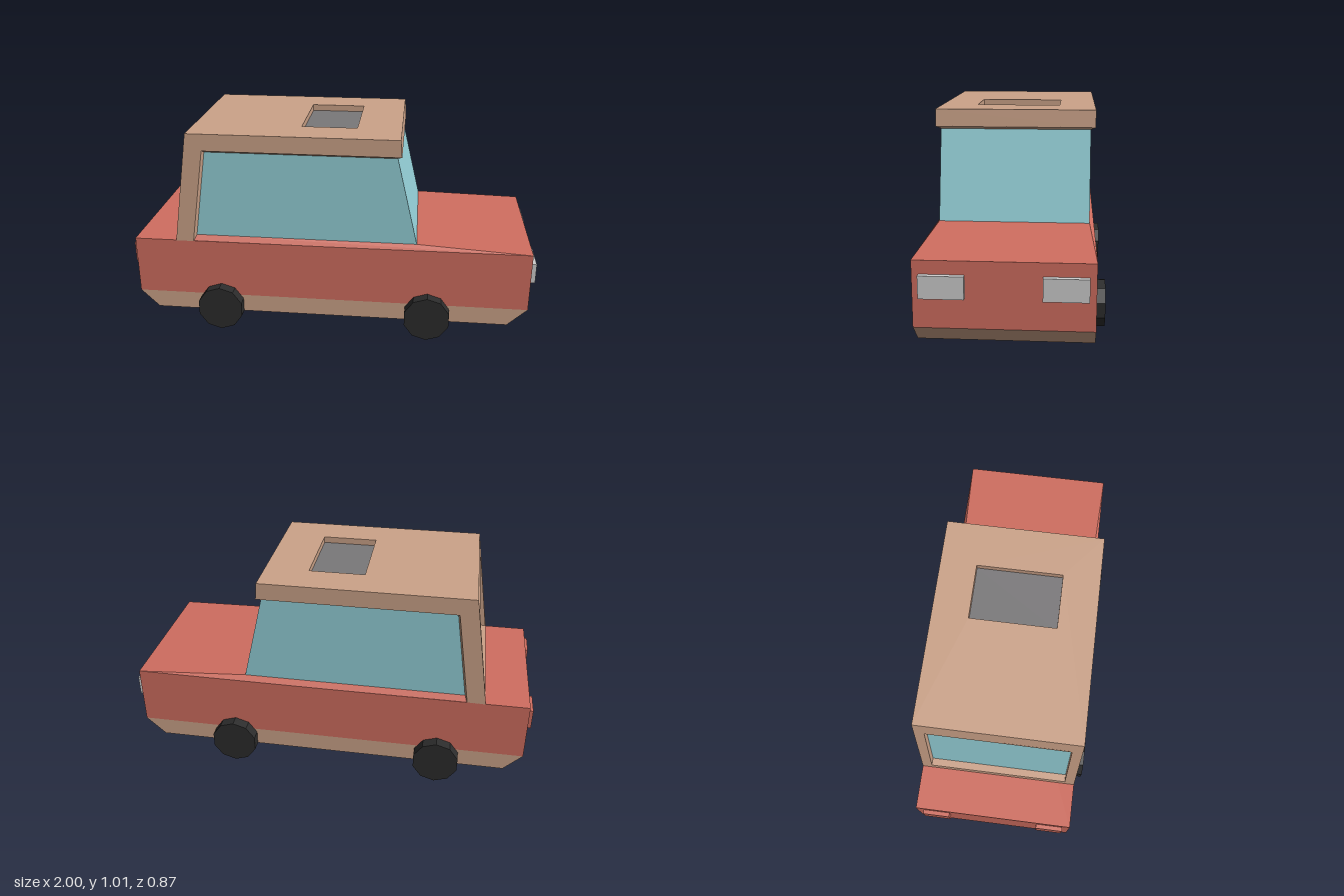
import * as THREE from 'three';
import { ConvexGeometry } from 'three/addons/geometries/ConvexGeometry.js';

const material = (name, color, opts = {}) => {
  const m = new THREE.MeshStandardMaterial({ color, ...opts });
  m.name = name;
  return m;
};

// Rectangle outline, as a shape or as a hole
function rect(target, x0, y0, x1, y1) {
  target.moveTo(x0, y0);
  target.lineTo(x1, y0);
  target.lineTo(x1, y1);
  target.lineTo(x0, y1);
  target.closePath();
  return target;
}

// Convex solid from [x, y, halfWidth] points, mirrored across z
function mirroredHull(points) {
  return new ConvexGeometry(points.flatMap(([x, y, z]) =>
    [new THREE.Vector3(x, y, z), new THREE.Vector3(x, y, -z)]));
}

// Shift x by a rule that depends on the vertex position
function shiftX(geometry, rule) {
  const p = geometry.attributes.position;
  for (let i = 0; i < p.count; i++) p.setX(i, p.getX(i) + rule(p.getX(i), p.getY(i)));
  geometry.computeVertexNormals();
  return geometry;
}

export function createModel() {
  const car = new THREE.Group();
  car.name = 'car';

  const red = material('red paint', 0xd06e60);
  const tan = material('tan trim', 0xcca389);
  const glass = material('blue glass', 0x94d0d8);
  const black = material('black rubber', 0x2c2c2c);
  const white = material('lamp white', 0xcecece);
  const grey = material('sunroof grey', 0x7a787a);

  const add = (name, geometry, mat, x = 0, y = 0, z = 0) => {
    const mesh = new THREE.Mesh(geometry, mat);
    mesh.name = name;
    mesh.position.set(x, y, z);
    car.add(mesh);
    return mesh;
  };

  const W = 0.383; // half width of the body
  const G = 0.36;  // half width of the glasshouse

  // Lower body: painted box above a tapered sill
  add('body', new THREE.BoxGeometry(1.955, 0.292, 2 * W), red, -0.0025, 0.316, 0);
  add('sill', mirroredHull([
    [-0.98, 0.17, W], [0.975, 0.17, W], [-0.89, 0.08, W], [0.88, 0.08, W],
  ]), tan);

  // Hood and window ledge, rising gently toward the windshield
  add('hood', mirroredHull([
    [-0.68, 0.46, W], [0.975, 0.46, W], [0.975, 0.465, W],
    [-0.67, 0.487, G], [0.42, 0.487, G],
  ]), red);

  // Glasshouse
  add('windows', mirroredHull([
    [-0.733, 0.47, G], [0.425, 0.47, G], [-0.664, 0.93, G], [0.315, 0.93, G],
  ]), glass);

  // Rear window frame, leaning forward
  const frameShape = rect(new THREE.Shape(), -W, 0.46, W, 0.932);
  frameShape.holes.push(rect(new THREE.Path(), -0.335, 0.49, 0.335, 0.922));
  const frame = new THREE.ExtrudeGeometry(frameShape, { depth: 0.088, bevelEnabled: false });
  frame.rotateY(Math.PI / 2);
  add('rearWindowFrame', shiftX(frame, (x, y) => -0.77 + 0.153 * (y - 0.46)), tan);

  // Beveled edge between each rear pillar and the side glass
  for (const s of [1, -1]) {
    const points = [[0.46, -0.682], [0.93, -0.611]].flatMap(([y, x]) => [
      new THREE.Vector3(x - 0.01, y, s * W), new THREE.Vector3(x, y, s * W),
      new THREE.Vector3(x + 0.01, y, s * (G - 0.002)), new THREE.Vector3(x - 0.01, y, s * (G - 0.002)),
    ]);
    add('pillarBevel', new ConvexGeometry(points), tan);
  }

  // Roof with a sunroof opening; its ends splay slightly at the bottom
  const roofShape = rect(new THREE.Shape(), -0.685, -W, 0.33, W);
  roofShape.holes.push(rect(new THREE.Path(), -0.155, -0.205, 0.115, 0.208));
  const roof = new THREE.ExtrudeGeometry(roofShape, { depth: 0.083, bevelEnabled: false });
  roof.rotateX(-Math.PI / 2).translate(0, 0.932, 0);
  add('roof', shiftX(roof, (x, y) =>
    (1.015 - y) * (x > 0.3 ? 0.085 : x < -0.6 ? -0.153 : 0)), tan);
  add('roofUnderside', mirroredHull([
    [-0.69, 0.933, W], [0.337, 0.933, W], [-0.65, 0.92, G], [0.319, 0.92, G],
  ]), tan);
  add('sunroof', new THREE.BoxGeometry(0.27, 0.008, 0.413), grey, -0.02, 0.98, -0.0015);

  // Lamps
  for (const s of [1, -1]) {
    add('headlight', new THREE.BoxGeometry(0.04, 0.1, 0.192), white, 0.98, 0.355, s * 0.258);
    add('taillight', new THREE.BoxGeometry(0.04, 0.1, 0.13), red, -0.98, 0.372, s * 0.283);
  }

  // Ten-sided wheels
  const tire = new THREE.CylinderGeometry(0.115, 0.115, 0.122, 10).toNonIndexed();
  tire.rotateX(Math.PI / 2);
  tire.computeVertexNormals();
  for (const x of [-0.553, 0.483]) {
    for (const s of [1, -1]) add('wheel', tire, black, x, 0.115, s * 0.376);
  }

  return car;
}
